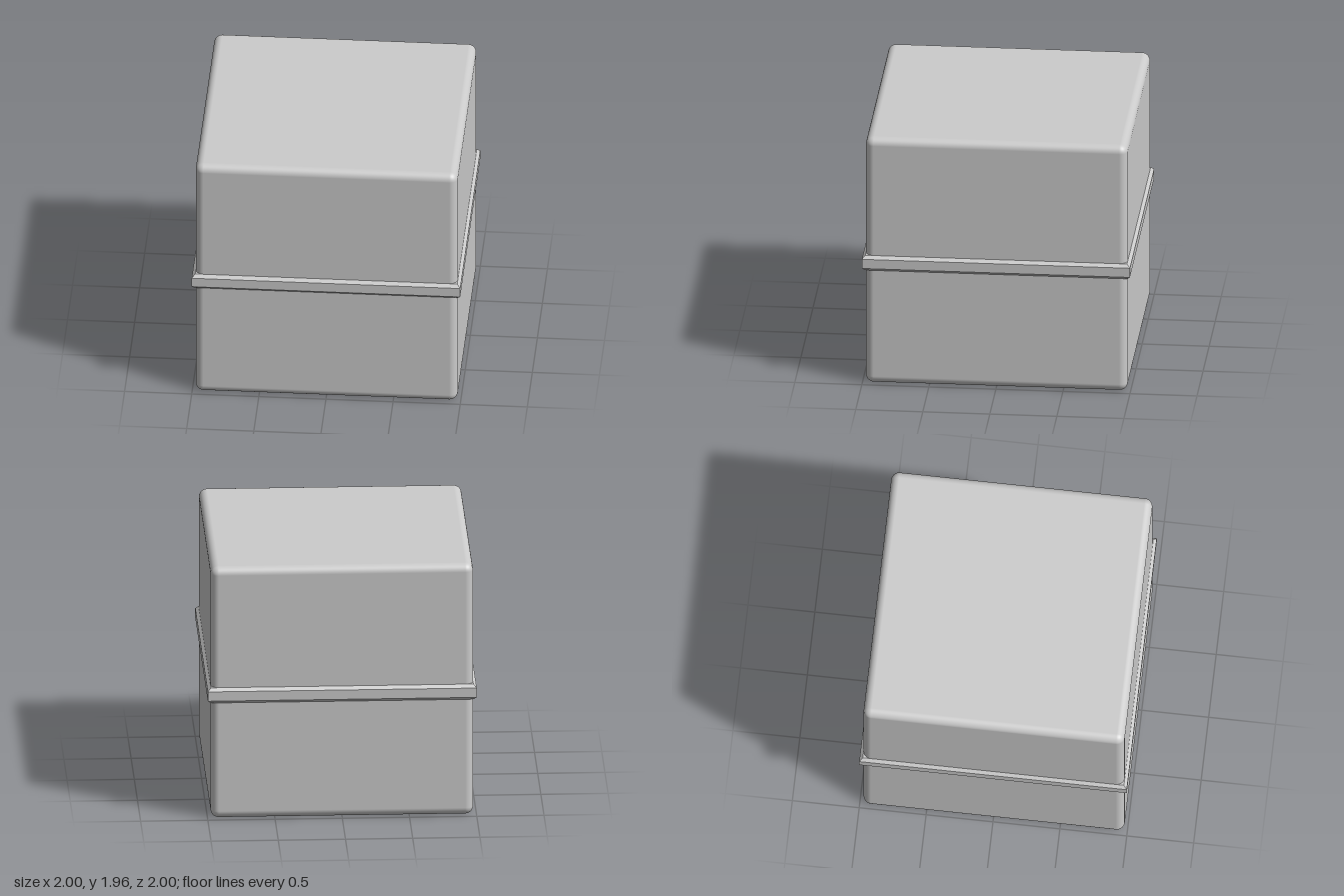
import * as THREE from 'three';
import { RoundedBoxGeometry } from 'three/addons/geometries/RoundedBoxGeometry.js';

export function createModel() {
  const group = new THREE.Group();

  // Rounded cube body
  const body = new THREE.Mesh(
    new RoundedBoxGeometry(1.952, 1.96, 1.952, 5, 0.06),
    new THREE.MeshStandardMaterial({ color: 0xcccccc })
  );
  body.name = 'body';
  body.position.y = 0.98;
  group.add(body);

  // Square bevelled band: [half width, height] profile swept round four sides
  const profile = [
    [0.94, 0.908], [0.976, 0.908], [1, 0.93], [1, 1.003], [0.976, 1.027], [0.94, 1.03],
  ].map(([r, y]) => new THREE.Vector2(r * Math.SQRT2, y));
  const band = new THREE.Mesh(
    new THREE.LatheGeometry(profile, 4, Math.PI / 4),
    new THREE.MeshStandardMaterial({ color: 0xcccccc, flatShading: true })
  );
  band.name = 'band';
  group.add(band);

  return group;
}
